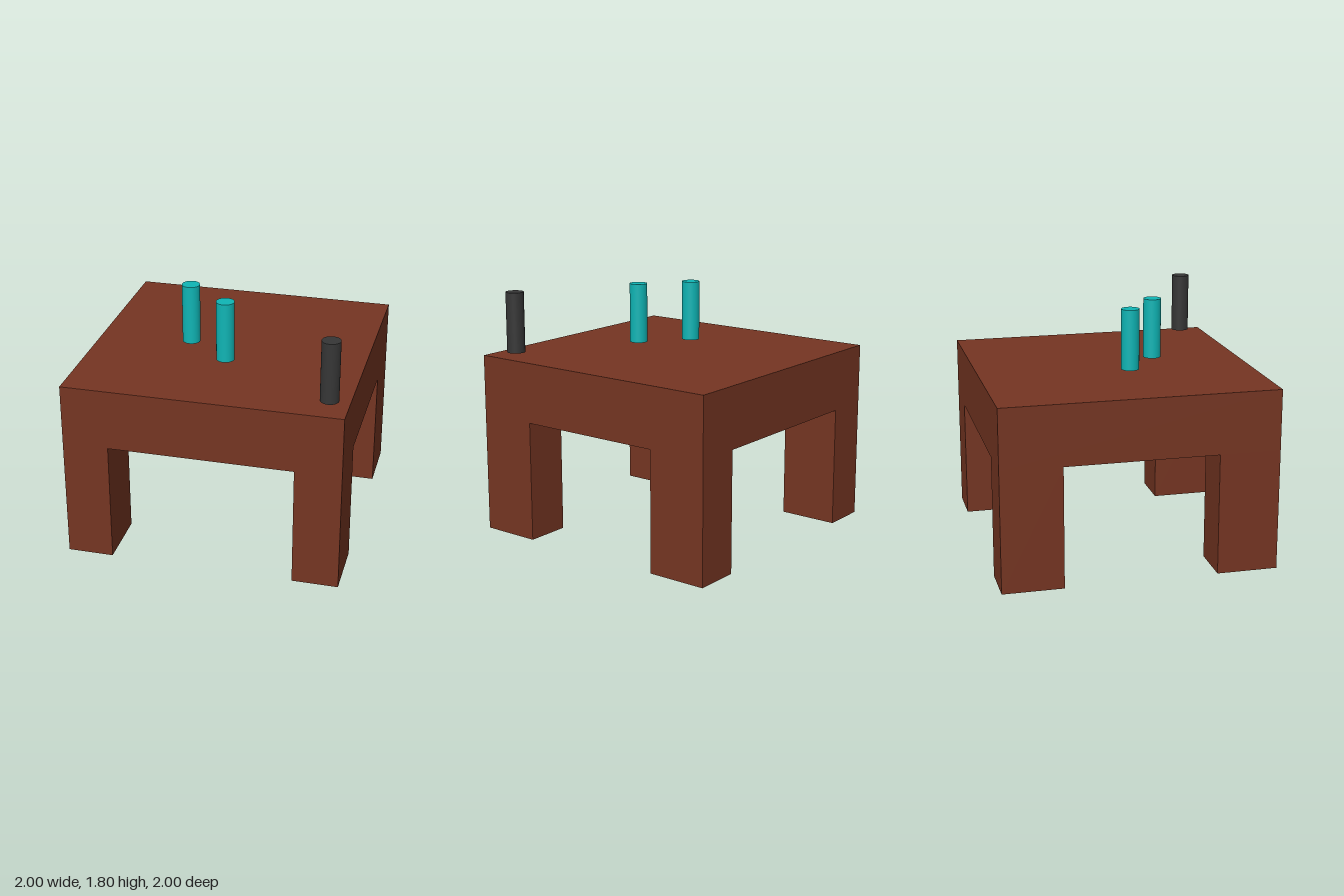
import * as THREE from 'three';

const wood = new THREE.MeshStandardMaterial({ color: 0x753522 });
const teal = new THREE.MeshStandardMaterial({ color: 0x0fb5b5 });
const black = new THREE.MeshStandardMaterial({ color: 0x363636 });

const TOP = 1.333, UNDERSIDE = 0.889;
const LEG_W = 0.333, LEG_D = 0.444;

export function createModel() {
  const group = new THREE.Group();
  const add = (name, geometry, material, x, y, z) => {
    const mesh = new THREE.Mesh(geometry, material);
    mesh.name = name;
    mesh.position.set(x, y, z);
    group.add(mesh);
  };

  // Thick square table top
  add('tableTop', new THREE.BoxGeometry(2, TOP - UNDERSIDE, 2), wood, 0, (TOP + UNDERSIDE) / 2, 0);

  // Four legs flush with the corners
  const leg = new THREE.BoxGeometry(LEG_W, UNDERSIDE, LEG_D);
  for (const [side, sx] of [['Left', 1], ['Right', -1]]) {
    for (const [end, sz] of [['front', 1], ['back', -1]]) {
      add(`${end}${side}Leg`, leg, wood, sx * (1 - LEG_W / 2), UNDERSIDE / 2, sz * (1 - LEG_D / 2));
    }
  }

  // Upright cylinders hovering just above the top
  const cylinder = new THREE.CylinderGeometry(0.066, 0.066, 0.444, 32);
  const cylinderY = 1.583;
  add('tealCylinderA', cylinder, teal, -0.304, cylinderY, 0.086);
  add('tealCylinderB', cylinder, teal, 0.017, cylinderY, 0.336);
  add('blackCylinder', cylinder, black, 0.861, cylinderY, 0.804);

  return group;
}
